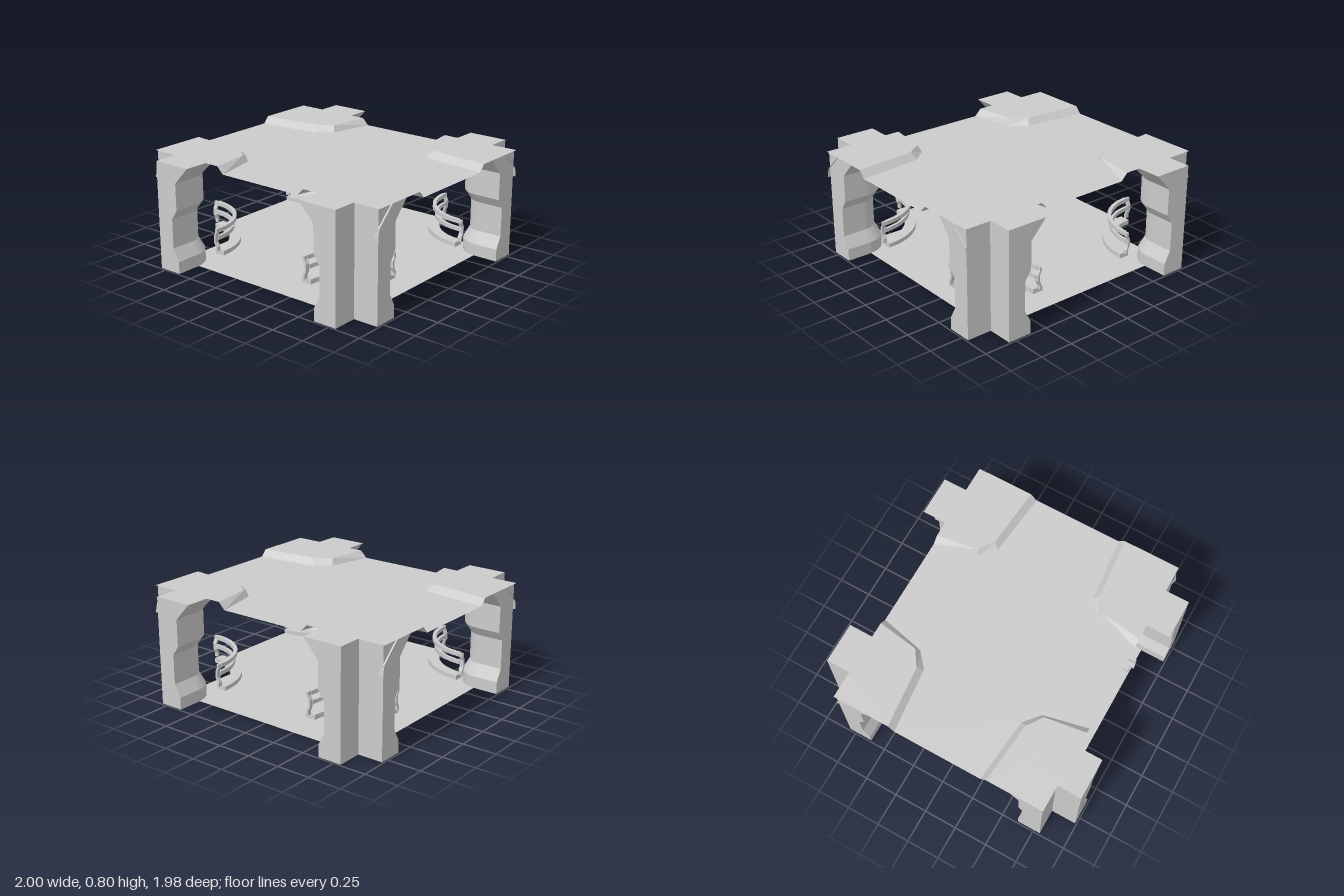
import * as THREE from 'three';
import { toCreasedNormals } from 'three/addons/utils/BufferGeometryUtils.js';

const solid = new THREE.MeshStandardMaterial({ color: 0xcccccc });
const thin = new THREE.MeshStandardMaterial({ color: 0xcccccc, side: THREE.DoubleSide });
const C = 0.8; // plan position of each corner's centre, on both x and z

function add(parent, name, geometry, material = solid) {
  const mesh = new THREE.Mesh(geometry, material);
  mesh.name = name;
  parent.add(mesh);
  return mesh;
}

const shapeOf = (pts) => new THREE.Shape(pts.map(([x, y]) => new THREE.Vector2(x, y)));

// Horizontal sheet: plan points are [x, z]
function sheet(pts, y) {
  return new THREE.ShapeGeometry(shapeOf(pts)).rotateX(Math.PI / 2).translate(0, y, 0);
}

// Copy the points of the +x +z quadrant round all four quadrants as one loop
function fourWay(q) {
  const r = [...q].reverse();
  return [
    ...q,
    ...r.map(([x, z]) => [x, -z]),
    ...q.map(([x, z]) => [-x, -z]),
    ...r.map(([x, z]) => [-x, z]),
  ];
}

// Flat quads between two open rows of 3D points
function strip(a, b) {
  const p = [];
  for (let i = 0; i < a.length - 1; i++) {
    p.push(...a[i], ...b[i], ...b[i + 1], ...a[i], ...b[i + 1], ...a[i + 1]);
  }
  const g = new THREE.BufferGeometry();
  g.setAttribute('position', new THREE.Float32BufferAttribute(p, 3));
  g.computeVertexNormals();
  return g;
}

// Quarter ring round the corner centre, between two radii and two heights
function quarterRing(r0, r1, y0, y1) {
  const s = new THREE.Shape();
  s.absarc(0, 0, r1, Math.PI, Math.PI * 1.5, false);
  s.absarc(0, 0, r0, Math.PI * 1.5, Math.PI, true);
  const g = new THREE.ExtrudeGeometry(s, { depth: y1 - y0, bevelEnabled: false, curveSegments: 10 });
  return toCreasedNormals(g.rotateX(Math.PI / 2).translate(C, y1, C), 0.5);
}

// Pillar: waisted profile of [reach, height], turned round the corner and run out along two arms
const profile = [[0.18, 0], [0.18, 0.09], [0.132, 0.18], [0.132, 0.4], [0.18, 0.47], [0.18, 0.67], [0.3, 0.8]];
function buildPillar() {
  const pillar = new THREE.Group();
  pillar.name = 'pillar';
  const section = [[0, 0], ...profile, [0, 0.8]];
  const turn = new THREE.LatheGeometry(section.map(([r, y]) => new THREE.Vector2(r, y)), 8, Math.PI, Math.PI / 2);
  add(pillar, 'pillarCorner', toCreasedNormals(turn.translate(C, 0, C), 0.4), thin);
  for (const side of [-1, 1]) {
    const g = new THREE.ExtrudeGeometry(shapeOf(section.map(([r, y]) => [side * r, y])), {
      depth: 0.188, bevelEnabled: false,
    });
    if (side === 1) g.rotateY(Math.PI / 2);
    add(pillar, 'pillarArm', g.translate(C, 0, C));
  }
  return pillar;
}

// Curved railing: curb, two rails and a bent post at each end
function buildRailing() {
  const railing = new THREE.Group();
  railing.name = 'railing';
  add(railing, 'curb', quarterRing(0.36, 0.44, 0.145, 0.18));
  add(railing, 'middleRail', quarterRing(0.375, 0.395, 0.253, 0.282));
  add(railing, 'topRail', quarterRing(0.385, 0.412, 0.318, 0.347));
  const bend = [[0.4, 0.18], [0.4, 0.21], [0.385, 0.24], [0.385, 0.29], [0.4, 0.32], [0.4, 0.345]];
  const outline = [
    ...bend.map(([r, y]) => [-r - 0.008, y]),
    ...[...bend].reverse().map(([r, y]) => [-r + 0.008, y]),
  ];
  for (const end of [0, 1]) {
    const g = new THREE.ExtrudeGeometry(
      shapeOf(outline.map(([x, y]) => [end ? -x : x, y])), { depth: 0.03, bevelEnabled: false });
    if (end) g.rotateY(Math.PI / 2);
    add(railing, 'post', g.translate(C, 0, C));
  }
  return railing;
}

// Plan lines of the ceiling edge (low) and the raised corner edge (high)
const low = [[0.335, 0.81], [0.41, 0.48], [0.52, 0.385], [1, 0.335]];
const high = [[0.385, 0.81], [0.43, 0.505], [0.545, 0.425], [1, 0.38]];

// Raised ceiling corner with its sloped edge and small side bracket
function buildCeilingCorner() {
  const corner = new THREE.Group();
  corner.name = 'ceilingCorner';
  const plan = [...high, [1, 0.81], [C, 0.81], [C, 0.988], [0.5, 0.988], [0.5, 0.81]];
  add(corner, 'cornerPanel', sheet(plan, 0.8), thin);
  add(corner, 'slopedEdge', strip(low.map(([x, z]) => [x, 0.75, z]), high.map(([x, z]) => [x, 0.8, z])), thin);
  const edge = [[0.67, 0.8], [0.805, 0.67], [0.82, 0.6]];
  const inner = [0.99, 0.985, 0.945];
  add(corner, 'sideBracket', strip(
    edge.map(([z, y]) => [1, y, z]),
    edge.map(([z, y], i) => [inner[i], y, Math.min(z, 0.805)])), thin);
  return corner;
}

export function createModel() {
  const model = new THREE.Group();
  model.name = 'crossingHall';

  add(model, 'floor', sheet(fourWay([[0.66, C], [0.68, 0.68], [C, 0.66]]), 0.002), thin);

  // Walkway with corners rounded to follow the railings
  const arc = [];
  for (let i = 0; i <= 10; i++) {
    const a = (i / 10) * Math.PI / 2;
    arc.push([C - 0.4 * Math.cos(a), C - 0.4 * Math.sin(a)]);
  }
  add(model, 'walkway', sheet(fourWay(arc), 0.15), thin);
  add(model, 'ceiling', sheet(fourWay(low), 0.75), thin);

  for (const sx of [1, -1]) {
    for (const sz of [1, -1]) {
      const corner = new THREE.Group();
      corner.name = (sz > 0 ? 'front' : 'back') + (sx > 0 ? 'Left' : 'Right') + 'Corner';
      corner.add(buildPillar(), buildRailing(), buildCeilingCorner());
      corner.scale.set(sx, 1, sz);
      model.add(corner);
    }
  }
  return model;
}
